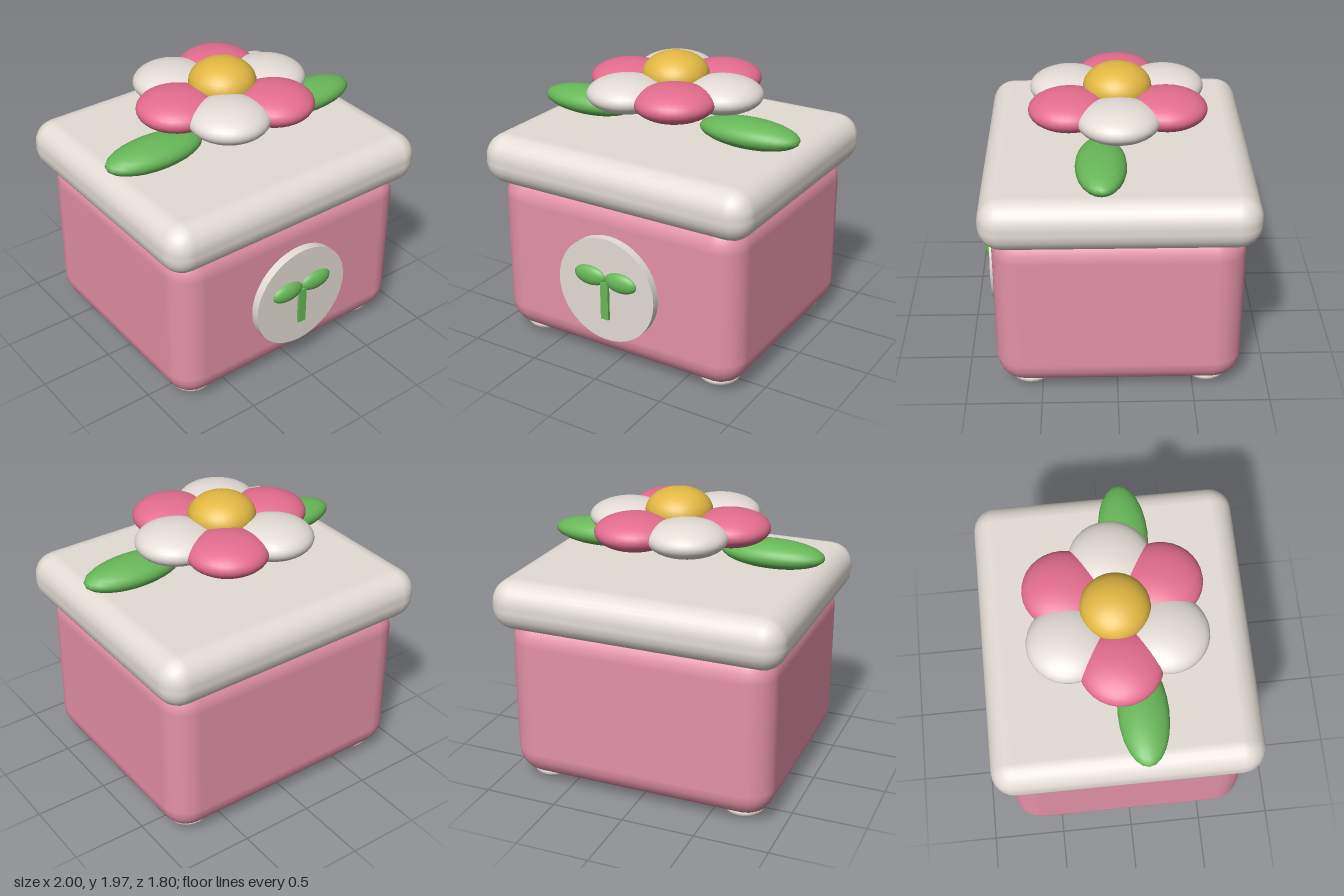
import * as THREE from 'three';
import { RoundedBoxGeometry } from 'three/addons/geometries/RoundedBoxGeometry.js';

const material = (name, color) => {
  const m = new THREE.MeshStandardMaterial({ color });
  m.name = name;
  return m;
};

export function createModel() {
  const group = new THREE.Group();
  group.name = 'flowerBox';

  const cream = material('cream', 0xe4dcd5);
  const pink = material('softPink', 0xe592a9);
  const rose = material('rose', 0xe46d8f);
  const yellow = material('yellow', 0xe2b843);
  const green = material('green', 0x68b858);

  const add = (name, geometry, mat, x, y, z) => {
    const mesh = new THREE.Mesh(geometry, mat);
    mesh.name = name;
    mesh.position.set(x, y, z);
    group.add(mesh);
    return mesh;
  };
  const ellipsoid = (name, mat, [x, y, z], [rx, ry, rz], w = 32, h = 20) =>
    add(name, new THREE.SphereGeometry(1, w, h).scale(rx, ry, rz), mat, x, y, z);

  // Box and overhanging lid
  add('body', new RoundedBoxGeometry(1.84, 1.17, 1.62, 3, 0.19), pink, 0, 0.637, -0.01);
  add('lid', new RoundedBoxGeometry(2, 0.345, 1.77, 3, 0.155), cream, 0, 1.303, -0.015);

  // Four flattened feet
  for (const x of [-0.7, 0.7]) {
    for (const z of [-0.595, 0.575]) {
      ellipsoid('foot', cream, [x, 0.067, z], [0.138, 0.06, 0.138], 24, 14);
    }
  }

  // Round badge with a sprout on the front
  const badge = new THREE.CylinderGeometry(0.366, 0.366, 0.08, 64).rotateX(Math.PI / 2);
  add('badge', badge, cream, 0, 0.6, 0.815);
  add('sproutStem', new THREE.BoxGeometry(0.058, 0.27, 0.04), green, 0, 0.53, 0.855);
  for (const side of [-1, 1]) {
    ellipsoid('sproutLeaf', green, [side * 0.118, 0.683, 0.85], [0.122, 0.07, 0.046], 24, 16);
  }

  // Two leaves lying on the lid
  for (const side of [-1, 1]) {
    ellipsoid('lidLeaf', green, [side * 0.62, 1.568, 0.1], [0.355, 0.093, 0.163], 24, 14);
  }

  // Flower: six petals in alternating colours around a domed centre
  for (let i = 0; i < 6; i++) {
    const a = (i * Math.PI) / 3;
    const at = [0.36 * Math.cos(a), 1.75, -0.015 + 0.36 * Math.sin(a)];
    ellipsoid('petal', i % 2 ? rose : cream, at, [0.267, 0.115, 0.267]);
  }
  ellipsoid('flowerCentre', yellow, [0, 1.83, -0.015], [0.224, 0.15, 0.224]);

  return group;
}
